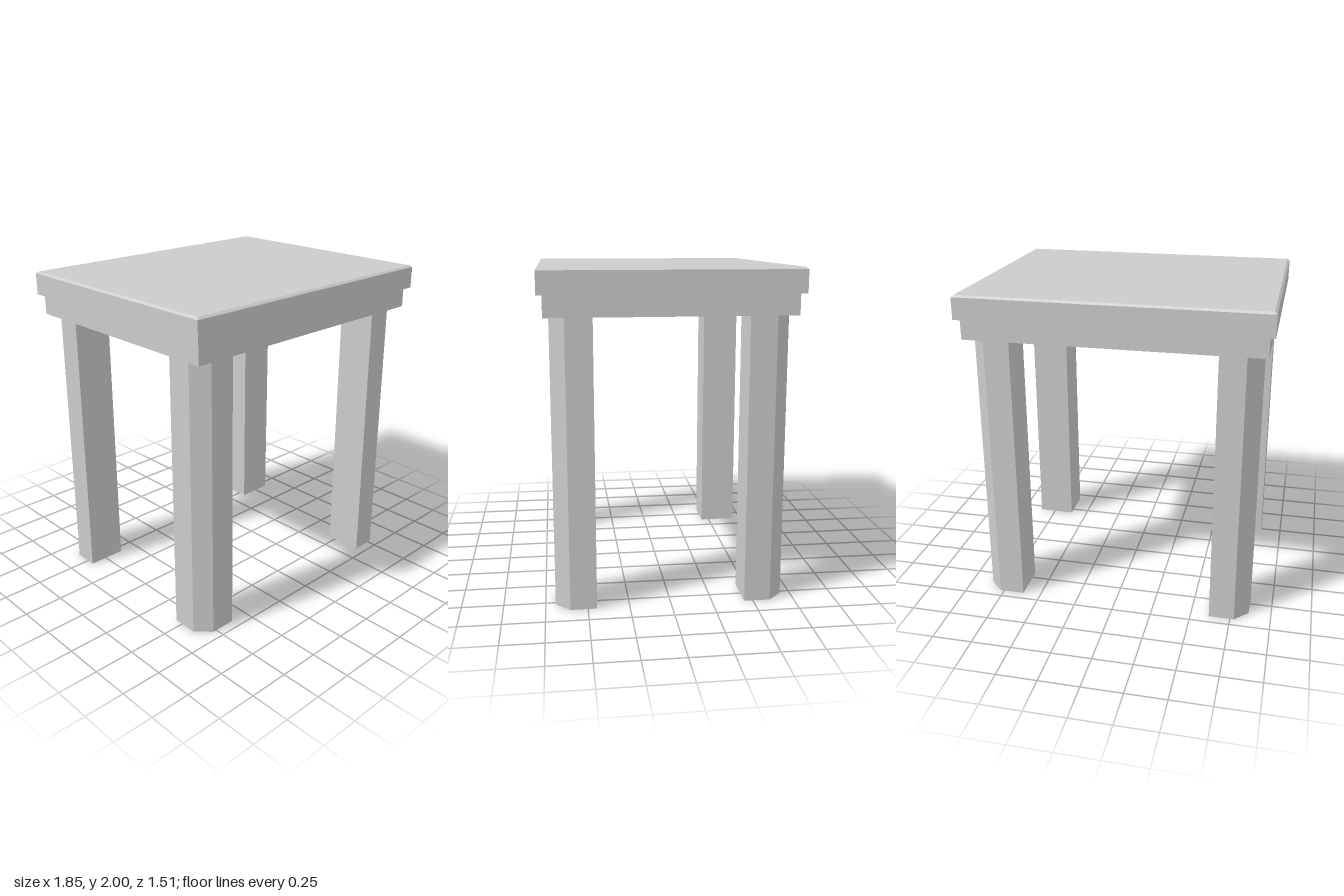
import * as THREE from 'three';

const material = new THREE.MeshStandardMaterial({ color: 0xcccccc, flatShading: true });

function part(name, geometry) {
  const mesh = new THREE.Mesh(geometry, material);
  mesh.name = name;
  return mesh;
}

// Slab standing on y = 0 whose upper rim is cut back by a small bevel
function beveledSlab(width, height, depth, inset, drop) {
  const geometry = new THREE.BoxGeometry(width, height, depth, 1, 2, 1);
  const pos = geometry.attributes.position;
  for (let i = 0; i < pos.count; i++) {
    const y = pos.getY(i);
    if (y > 0.001) {
      pos.setX(i, pos.getX(i) - Math.sign(pos.getX(i)) * inset);
      pos.setZ(i, pos.getZ(i) - Math.sign(pos.getZ(i)) * inset);
    } else if (y > -0.001) {
      pos.setY(i, height / 2 - drop);
    }
  }
  geometry.translate(0, height / 2, 0);
  geometry.computeVertexNormals();
  return geometry;
}

// Square post with its outer corner cut off, for the corner at (sx, sz)
function legGeometry(sx, sz) {
  const outX = 0.86, inX = 0.616, outZ = 0.69, inZ = 0.446, cut = 0.086;
  const corners = [
    [inX, inZ], [outX, inZ], [outX, outZ - cut], [outX - cut, outZ], [inX, outZ],
  ];
  const shape = new THREE.Shape(corners.map(([x, z]) => new THREE.Vector2(sx * x, -sz * z)));
  const geometry = new THREE.ExtrudeGeometry(shape, { depth: 1.73, bevelEnabled: false });
  geometry.rotateX(-Math.PI / 2);
  return geometry;
}

export function createModel() {
  const table = new THREE.Group();
  table.name = 'table';

  // Table top and the apron below it
  const top = part('tableTop', beveledSlab(1.848, 0.145, 1.508, 0.015, 0.012));
  top.position.y = 1.855;
  const apron = part('apron', new THREE.BoxGeometry(1.786, 0.125, 1.444));
  apron.position.y = 1.7925;
  table.add(top, apron);

  // Four legs
  for (const [sz, end] of [[1, 'front'], [-1, 'back']]) {
    for (const [sx, side] of [[1, 'Left'], [-1, 'Right']]) {
      table.add(part(`${end}${side}Leg`, legGeometry(sx, sz)));
    }
  }
  return table;
}
